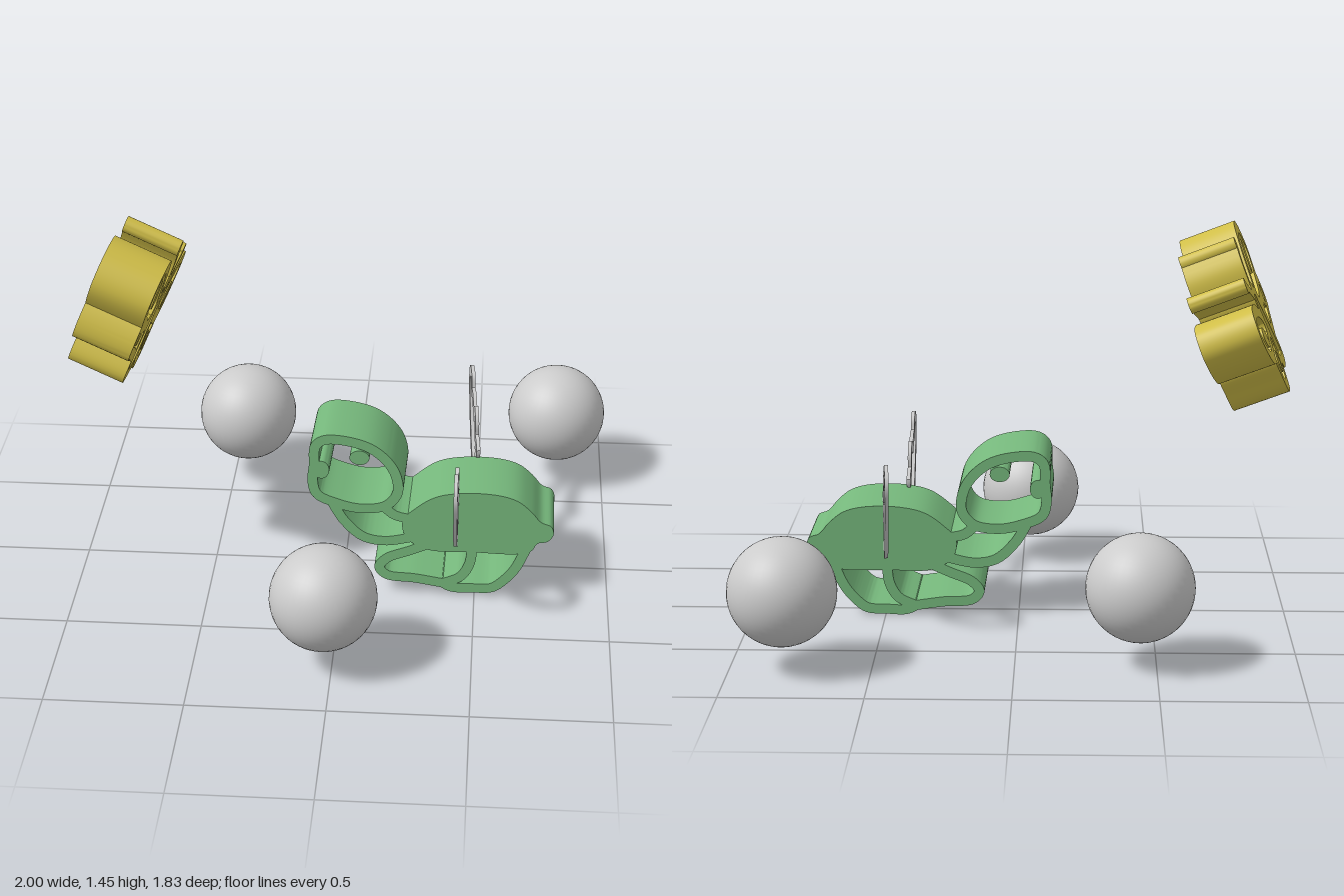
import * as THREE from 'three';
import { toCreasedNormals } from 'three/addons/utils/BufferGeometryUtils.js';

const mat = (color) => new THREE.MeshStandardMaterial({ color, side: THREE.DoubleSide });
const GREEN = mat(0x76b87c), YELLOW = mat(0xd0be48), GREY = mat(0xcccccc);

// Pairs [a, b, a, b, ...] on a drawing sheet -> points in units
const sheet = (ox, oy, scale) => (list) => {
  const pts = [];
  for (let i = 0; i < list.length; i += 2)
    pts.push(new THREE.Vector2((list[i] - ox) / scale, (oy - list[i + 1]) / scale));
  return pts;
};

const smooth = (pts, closed) =>
  new THREE.CatmullRomCurve3(pts.map((p) => new THREE.Vector3(p.x, p.y, 0)), closed);

// Smooth solid outline
const blob = (pts) => new THREE.Shape(
  smooth(pts, true).getPoints(pts.length * 5).slice(0, -1).map((p) => new THREE.Vector2(p.x, p.y)));

const disc = (p, rx, ry, turn = 0) => new THREE.Shape(
  new THREE.EllipseCurve(p.x, p.y, rx, ry, 0, Math.PI * 2, false, turn).getPoints(24).slice(0, -1));

// Band of even width along a smooth line; closed lines become rings
function band(pts, width, closed = false) {
  const curve = smooth(pts, closed), n = pts.length * 8, w = width / 2;
  const mid = [], a = [], b = [];
  for (let i = 0; i < (closed ? n : n + 1); i++) {
    const p = curve.getPoint(i / n), t = curve.getTangent(i / n);
    mid.push(new THREE.Vector2(p.x, p.y));
    a.push(new THREE.Vector2(p.x - t.y * w, p.y + t.x * w));
    b.push(new THREE.Vector2(p.x + t.y * w, p.y - t.x * w));
  }
  // Drop offset points that fold back in tight bends
  const clean = (side) => side.filter((q) => mid.every((m) => m.distanceTo(q) > w * 0.97));
  const sides = [clean(a), clean(b)];
  if (!closed) return new THREE.Shape([...sides[0], ...sides[1].reverse()]);
  const area = (s) => Math.abs(THREE.ShapeUtils.area(s));
  sides.sort((s, t) => area(t) - area(s));
  const shape = new THREE.Shape(sides[0]);
  shape.holes.push(new THREE.Path(sides[1]));
  return shape;
}

function plate(name, shape, depth, material, matrix = new THREE.Matrix4()) {
  const g = new THREE.ExtrudeGeometry(shape, { depth, bevelEnabled: false }).applyMatrix4(matrix);
  const m = new THREE.Mesh(toCreasedNormals(g, 0.6), material);
  m.name = name;
  return m;
}

function makeCreature() {
  const P = sheet(238 + 0.33 * 187, 360 - 0.33 * 187, 187);
  const g = new THREE.Group();
  g.name = 'creature';
  const D = 0.296, W = 0.038;
  const add = (name, shape) => {
    const m = plate(name, shape, D, GREEN);
    m.position.z = -D / 2;
    g.add(m);
  };
  // Solid torso with tail stub
  add('torso', blob(P([281, 302, 290, 292, 303, 283, 320, 279, 345, 279, 360, 283, 370, 291, 377, 299, 384, 302,
    386, 308, 382, 314, 375, 316, 371, 322, 361, 325, 330, 325, 301, 325, 290, 321, 283, 315])));
  // Head ring, eye and nostril
  add('head', band(P([219, 262, 220, 247, 226, 242, 241, 242, 258, 247, 270, 257, 276, 268, 277, 281, 269, 291,
    252, 294, 236, 291, 221, 284, 218, 274]), W, true));
  add('eye', disc(P([250.5, 254.5])[0], 0.037, 0.029));
  add('nostril', disc(P([224, 265])[0], 0.03, 0.036));
  // Neck strands
  add('nape', band(P([266, 290, 275, 298, 288, 301]), W));
  add('throat', band(P([232, 291, 240, 304, 253, 316, 268, 319, 289, 315]), W));
  // Folded legs
  add('frontLeg', band(P([304, 318, 286, 326, 270, 333, 265, 340, 270, 346, 290, 348, 310, 351]), W));
  add('middleLeg', band(P([330, 320, 328, 335, 322, 345, 310, 351]), W));
  add('backLeg', band(P([308, 350, 316, 354, 330, 354, 344, 353, 352, 347, 360, 337, 368, 319]), W));
  g.position.set(0.33, 0.33, 0.06);
  g.rotation.set(-0.034, -0.017, 0);
  return g;
}

function makeWings() {
  // Ragged wing outline; sheet axes are -z and y
  const P = sheet(686, 372.5, 204.5);
  const pts = P([579, 250, 584, 242, 594, 242.5, 598, 252, 610, 254, 618, 260, 628, 256, 634, 262, 635, 273,
    649, 278, 642, 288, 640, 300, 637, 315, 628, 315, 603, 294, 587, 271]);
  const g = new THREE.Group();
  g.name = 'wings';
  const front = plate('frontWing', band(pts, 0.04, true), 0.014, GREY);
  front.rotation.y = Math.PI / 2;
  front.position.x = 0.42;
  // Mirrored wing swings slightly outward
  const mirrored = pts.map((p) => new THREE.Vector2(-0.093 - p.x, p.y));
  const back = plate('backWing', band(mirrored, 0.04, true), 0.014, GREY);
  back.rotation.y = Math.PI / 2 + 0.105;
  back.position.x = 0.5;
  g.add(front, back);
  return g;
}

function makeButterfly() {
  const P = sheet(686, 372.5 - 1.1 * 204.5, 204.5);
  const g = new THREE.Group();
  g.name = 'butterfly';
  // Tilted plane: columns are across, up and thickness
  const tilt = new THREE.Matrix4().set(
    0.1, 0.4, 0.2, -0.88,
    0, 1, -0.08, 1.18,
    -1, 0, 0.025, -0.025,
    0, 0, 0, 1);
  const add = (name, shape) => g.add(plate(name, shape, 1, YELLOW, tilt));
  const W = 0.045;
  const rings = {
    upperLeftWing: [604, 116, 609, 104, 621, 97, 636, 98, 649, 109, 660, 127, 667, 141, 655, 151, 635, 147, 616, 135],
    lowerLeftWing: [616, 135, 608, 145, 608, 155, 619, 160, 632, 168, 645, 173, 655, 152, 637, 147],
    body: [642, 191, 648, 176, 668, 148, 684, 133, 694, 138, 688, 156, 671, 191, 657, 194],
    upperRightWing: [695, 156, 714, 146, 738, 142, 754, 144, 759, 154, 750, 167, 732, 177, 715, 177, 698, 168],
    lowerRightWing: [684, 167, 680, 190, 690, 204, 704, 203, 712, 192, 718, 179, 700, 168],
  };
  for (const [name, list] of Object.entries(rings)) add(name, band(P(list), W, true));
  // Antennae with knobs
  for (const list of [[688, 137, 687, 117, 678, 102], [692, 139, 705, 133, 724, 125]]) {
    const pts = P(list);
    add('antenna', band(pts, 0.036));
    add('antennaKnob', disc(pts[2], 0.028, 0.028));
  }
  // Wing spots
  for (const [x, y, rx, ry, turn] of [[631, 118, 0.035, 0.065, 0.3], [629, 151, 0.04, 0.035, 0],
    [726, 163, 0.065, 0.035, 0.3], [695, 187, 0.035, 0.04, 0]])
    add('wingSpot', disc(P([x, y])[0], rx, ry, turn));
  return g;
}

export function createModel() {
  const model = new THREE.Group();
  // Three balls around the scene
  for (const [x, z] of [[-0.44, -0.645], [0.807, -0.72], [-0.03, 0.72]]) {
    const ball = new THREE.Mesh(new THREE.SphereGeometry(0.193, 40, 28), GREY);
    ball.name = 'ball';
    ball.position.set(x, 0.295, z);
    model.add(ball);
  }
  model.add(makeCreature(), makeWings(), makeButterfly());
  return model;
}
